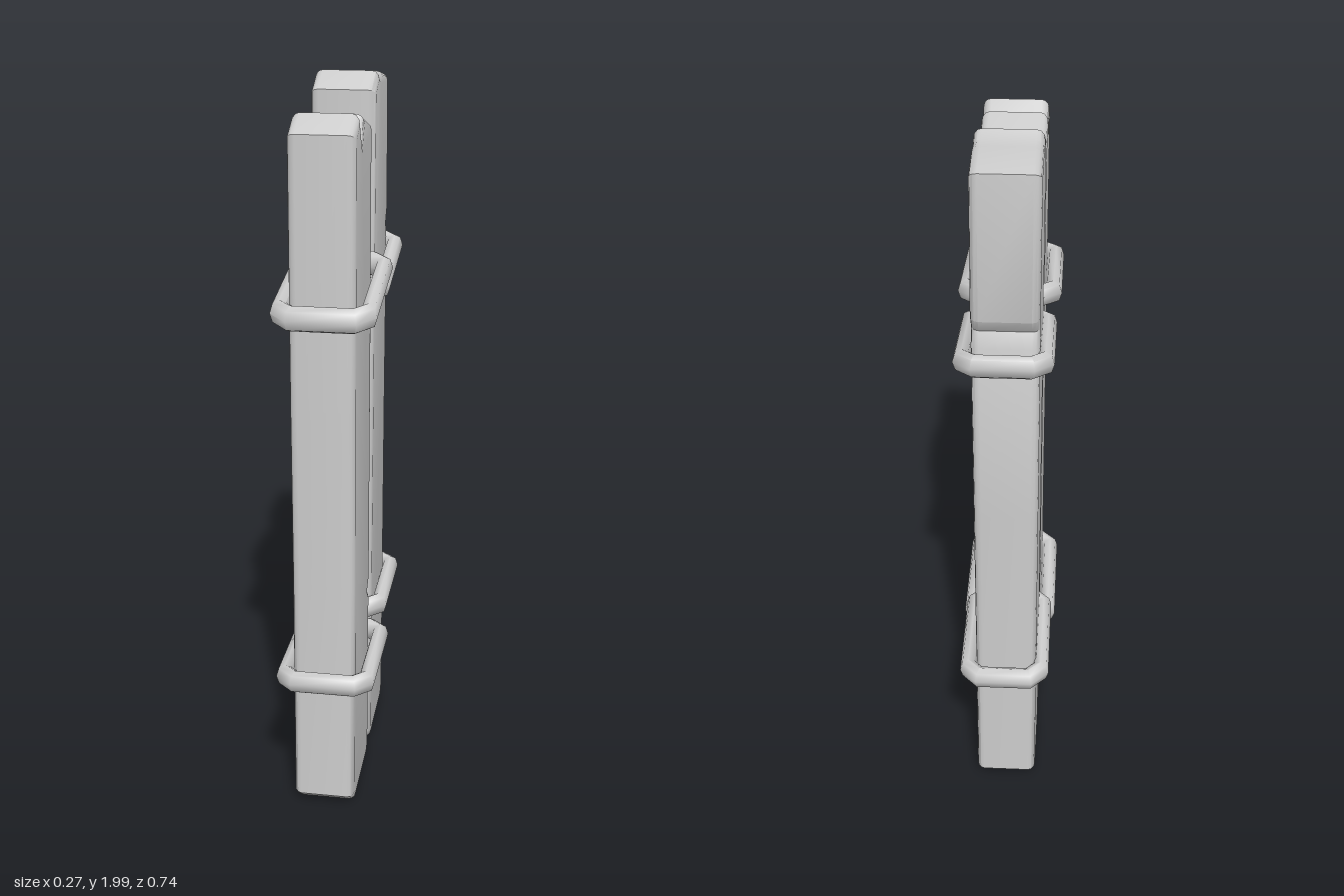
import * as THREE from 'three';
import { toCreasedNormals } from 'three/addons/utils/BufferGeometryUtils.js';

const material = new THREE.MeshStandardMaterial({ color: 0xcccccc });

// Side outlines as [z, y], with split tops and chipped edges
const FRONT_PLANK = [
  [0.28, 0.01], [0.315, 0.04], [0.31, 0.7], [0.318, 1.2], [0.315, 1.9], [0.235, 1.94],
  [0.204, 1.87], [0.172, 1.93], [0.02, 1.885], [0.013, 1.3], [0.013, 0.59],
  [0.04, 0.565], [0.015, 0.54], [0.018, 0.04], [0.05, 0.01],
];
const BACK_PLANK = [
  [-0.04, 0.015], [-0.01, 0.045], [-0.015, 0.5], [-0.025, 1.13], [-0.03, 1.96], [-0.11, 2.0],
  [-0.14, 1.985], [-0.19, 1.99], [-0.3, 1.97], [-0.323, 1.6], [-0.295, 1.56],
  [-0.312, 1.52], [-0.306, 1.0], [-0.305, 0.05], [-0.27, 0.015],
];

// Thick board: outline extruded across x with softened edges
function plank(name, outline) {
  const shape = new THREE.Shape(outline.map(([z, y]) => new THREE.Vector2(z, y)));
  const bevel = 0.02;
  const geometry = new THREE.ExtrudeGeometry(shape, {
    depth: 0.17 - 2 * bevel, bevelThickness: bevel, bevelSize: bevel,
    bevelOffset: -bevel, bevelSegments: 3,
  });
  geometry.rotateY(-Math.PI / 2).translate(0.06, 0, 0);
  const mesh = new THREE.Mesh(toCreasedNormals(geometry, 0.7), material);
  mesh.name = name;
  return mesh;
}

// Corner-cut rectangular loop with an oval section, tilted along z
function band(name, { hx, hz, x, z, y, slope }) {
  const sides = 8, rx = 0.023, ry = 0.033, cut = 0.033;
  const positions = [], index = [];
  for (let i = 0; i < sides; i++) {
    const a = (i / sides) * Math.PI * 2;
    const o = Math.cos(a) * rx, h = Math.sin(a) * ry;
    const w = hx + o, l = hz + o, c = cut + o * 0.586;
    const loop = [
      [w, -l + c], [w, l - c], [w - c, l], [-w + c, l],
      [-w, l - c], [-w, -l + c], [-w + c, -l], [w - c, -l],
    ];
    for (const [px, pz] of loop) positions.push(x + px, y + h + slope * pz, z + pz);
    for (let j = 0; j < 8; j++) {
      const k = (j + 1) % 8, n = (i + 1) % sides;
      const p = i * 8 + j, q = n * 8 + j, r = n * 8 + k, s = i * 8 + k;
      index.push(p, q, s, q, r, s);
    }
  }
  const geometry = new THREE.BufferGeometry();
  geometry.setAttribute('position', new THREE.Float32BufferAttribute(positions, 3));
  geometry.setIndex(index);
  const mesh = new THREE.Mesh(toCreasedNormals(geometry, 1), material);
  mesh.name = name;
  return mesh;
}

export function createModel() {
  const model = new THREE.Group();
  model.name = 'boundPlanks';

  model.add(plank('frontPlank', FRONT_PLANK), plank('backPlank', BACK_PLANK));

  // Two bindings around each plank
  const front = { hx: 0.113, hz: 0.18, x: 0, z: 0.163 };
  const back = { hx: 0.102, hz: 0.168, x: -0.001, z: -0.178 };
  model.add(
    band('frontUpperBand', { ...front, y: 1.48, slope: -0.155 }),
    band('frontLowerBand', { ...front, y: 0.411, slope: 0.05 }),
    band('backUpperBand', { ...back, y: 1.463, slope: -0.165 }),
    band('backLowerBand', { ...back, y: 0.47, slope: 0.03 }),
  );

  // Stand on the ground
  model.position.y = -0.01;
  return model;
}
